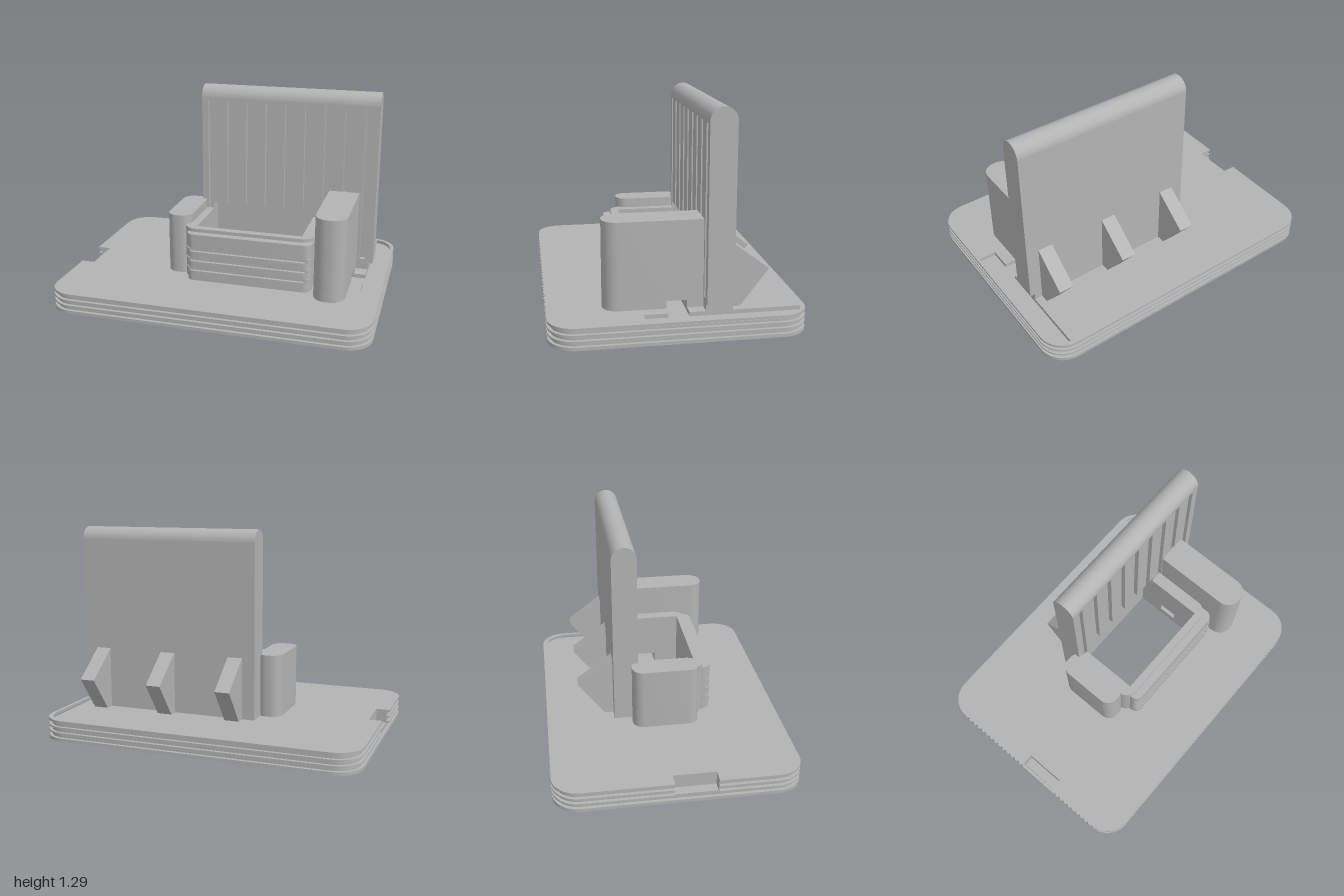
import * as THREE from 'three';
import { toCreasedNormals } from 'three/addons/utils/BufferGeometryUtils.js';

// Closed path from [x, y, cornerRadius] points
function trace(path, pts) {
  const n = pts.length;
  const toward = (a, b, d) => {
    const l = Math.hypot(b[0] - a[0], b[1] - a[1]);
    return [a[0] + (b[0] - a[0]) * d / l, a[1] + (b[1] - a[1]) * d / l];
  };
  pts.forEach((v, i) => {
    const r = v[2] || 0;
    const a = r ? toward(v, pts[(i + n - 1) % n], r) : v;
    if (i === 0) path.moveTo(a[0], a[1]); else path.lineTo(a[0], a[1]);
    if (r) {
      const b = toward(v, pts[(i + 1) % n], r);
      const c = toward(v, pts[(i + n - 1) % n], r * 0.448);
      const d = toward(v, pts[(i + 1) % n], r * 0.448);
      path.bezierCurveTo(c[0], c[1], d[0], d[1], b[0], b[1]);
    }
  });
  path.closePath();
  return path;
}

function extrude(pts, holes, depth) {
  const shape = trace(new THREE.Shape(), pts);
  shape.holes = holes.map((h) => trace(new THREE.Path(), h));
  return new THREE.ExtrudeGeometry(shape, { depth, bevelEnabled: false, curveSegments: 8 });
}

const rect = (x0, x1, z0, z1) => [[x0, z0], [x1, z0], [x1, z1], [x0, z1]];

export function createModel() {
  const model = new THREE.Group();
  const gray = new THREE.MeshStandardMaterial({ color: 0xb3b3b3 });
  gray.name = 'plain gray';

  const add = (name, geo) => {
    const mesh = new THREE.Mesh(toCreasedNormals(geo, 0.6), gray);
    mesh.name = name;
    model.add(mesh);
    return mesh;
  };
  // Horizontal slab with its outline in x, z
  const slab = (name, pts, y0, y1, holes = []) => {
    const flip = (l) => l.map(([x, z, r]) => [x, -z, r]);
    const geo = extrude(flip(pts), holes.map(flip), y1 - y0);
    add(name, geo.rotateX(-Math.PI / 2).translate(0, y0, 0));
  };
  // Upright plate with its outline in x, y
  const plate = (name, pts, z0, z1, holes = []) =>
    add(name, extrude(pts, holes, z1 - z0).translate(0, 0, z0));

  // Base: stacked layers that leave grooves around the edge
  const base = (inset, notch) => {
    const x = 1 - inset, z = 0.74 - inset, r = 0.16 - inset;
    const left = notch ? [[-x, -0.04], [-0.915, -0.04], [-0.915, 0.22], [-x, 0.22]] : [];
    return [[x, z, r], [x, -z, r], [-x, -z, r], ...left, [-x, z, r]];
  };
  const opening = rect(-0.18, 0.5, -0.23, 0.22);
  const recess = rect(-0.3, 0.585, -0.38, 0.38);
  const pin = (x, z) => [[x - 0.016, z - 0.016, 0.015], [x + 0.016, z - 0.016, 0.015],
    [x + 0.016, z + 0.016, 0.015], [x - 0.016, z + 0.016, 0.015]];
  const pins = [pin(0.54, 0.01), pin(-0.24, 0.01)];
  slab('baseBottom', base(0, false), 0, 0.02, [recess]);
  slab('baseGroove', base(0.02, false), 0.02, 0.045, [recess]);
  slab('baseLayer', base(0, true), 0.045, 0.055, [opening, ...pins]);
  slab('baseGroove', base(0.02, true), 0.055, 0.08, [opening, ...pins]);
  slab('baseLayer', base(0, true), 0.08, 0.09, [opening]);
  slab('baseGroove', base(0.02, true), 0.09, 0.105, [opening]);

  // Cable channel from the opening to the back edge, open sideways under the rim
  const toChannel = [[0.87, 0.2], [0.87, 0.06], [0.5, 0.06], [0.5, 0.22], [-0.18, 0.22],
    [-0.18, -0.23], [0.5, -0.23], [0.5, -0.06], [0.87, -0.06]];
  const [frontCorner, , ...rest] = base(0.02, true);
  slab('channelLayer', [frontCorner, [0.98, 0.2], ...toChannel, [0.87, -0.72], ...rest], 0.105, 0.115);
  slab('baseTop', base(0, true), 0.115, 0.13,
    [[...toChannel, [0.87, -0.71], [0.92, -0.69], [0.96, -0.64], [0.98, -0.57], [0.98, 0.2]]]);

  // Bin with a cable gap low in its right wall
  slab('binLower', [[0.58, 0.06], [0.58, 0.27, 0.08], [-0.26, 0.27, 0.08], [-0.26, -0.16], [-0.18, -0.16],
    [-0.18, 0.22], [0.5, 0.22], [0.5, 0.06]], 0.13, 0.175);
  slab('binLower', rect(0.5, 0.58, -0.16, -0.06), 0.13, 0.175);
  slab('binUpper', [[0.58, -0.16], [0.58, 0.27, 0.08], [-0.26, 0.27, 0.08], [-0.26, -0.16], [-0.18, -0.16],
    [-0.18, 0.22], [0.5, 0.22], [0.5, -0.16]], 0.175, 0.46);

  // Front panel with three slots
  const levels = [0.13, 0.193, 0.218, 0.258, 0.283, 0.323, 0.348, 0.438];
  for (let i = 0; i < levels.length - 1; i++) {
    const slot = i % 2 ? [[0.54, 0.32], [0.54, 0.3], [-0.2, 0.3], [-0.2, 0.32]] : [];
    const r = i % 2 ? 0.03 : 0.05;
    slab('frontPanel', [[0.575, 0.23], [0.575, 0.32, r], ...slot, [-0.225, 0.32, r], [-0.225, 0.23]],
      levels[i], levels[i + 1]);
  }

  // Side holders
  slab('rightHolderSide', [[-0.39, -0.2, 0.07], [-0.23, -0.2, 0.07], [-0.23, 0.22, 0.07], [-0.39, 0.22, 0.07]],
    0.13, 0.52);
  const tower = (z) => [[0.6, z], [0.6, 0.42, 0.09], [0.795, 0.42, 0.09], [0.795, z]];
  slab('tower', tower(-0.16), 0.175, 0.65);
  slab('towerFoot', tower(0.06), 0.13, 0.175);
  slab('towerFoot', rect(0.6, 0.795, -0.16, -0.06), 0.13, 0.175);

  // Back wall: full rear plate, pocketed middle, grooved face and round top
  const top = 1.217;
  const sides = [[0.87, 0.13], [0.87, 0.175], [0.9, 0.175], [0.9, top], [-0.26, top], [-0.26, 0.13]];
  const pocketed = (notches) => [...sides, [-0.18, 0.13], [-0.18, 0.5], ...notches, [0.5, 0.5], [0.5, 0.13]];
  plate('wallRear', sides, -0.31, -0.23);
  plate('wallMiddle', pocketed([]), -0.23, -0.185);
  const notches = [], grooves = [];
  for (let i = 0; i < 9; i++) {
    const a = -0.218 + 0.129 * i, b = a + 0.037;
    if (i > 0 && i < 6) notches.push([a, 0.5], [a, 1.2], [b, 1.2], [b, 0.5]);
    else grooves.push(rect(a, b, 0.2, 1.2));
  }
  plate('wallFace', pocketed(notches), -0.185, -0.155, grooves);
  add('wallTop', new THREE.CylinderGeometry(0.0775, 0.0775, 1.16, 32, 1, false, 0, Math.PI)
    .rotateZ(Math.PI / 2).translate(0.32, top, -0.2325));

  // Rear hooks
  for (const x of [-0.18, 0.272, 0.725]) {
    const hook = extrude([[0.305, 0.13], [0.365, 0.13], [0.532, 0.348], [0.31, 0.515], [0.305, 0.515]], [], 0.094);
    add('rearHook', hook.rotateY(Math.PI / 2).translate(x, 0, 0));
  }
  return model;
}
